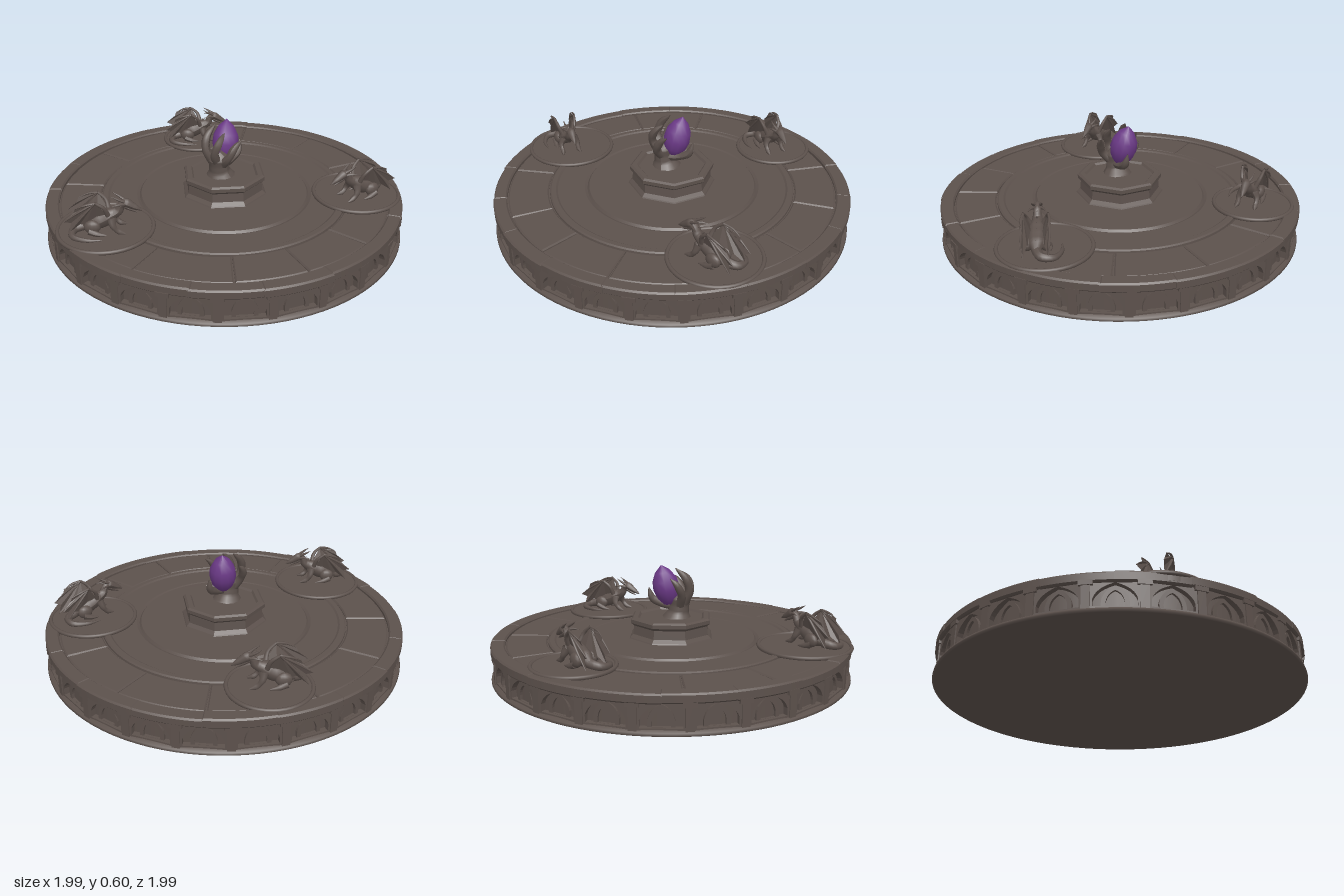
import * as THREE from 'three';
import { toCreasedNormals } from 'three/addons/utils/BufferGeometryUtils.js';

const stone = new THREE.MeshStandardMaterial({ color: 0x5c514c, side: THREE.DoubleSide });
stone.name = 'stone';
const crystalPurple = new THREE.MeshStandardMaterial({ color: 0x6c3a88 });
crystalPurple.name = 'crystal purple';

let seed = 7;
const rand = () => (seed = (seed * 16807) % 2147483647) / 2147483647;
const V = (p) => new THREE.Vector3(...p);

function add(parent, name, geometry, pos = [0, 0, 0], material = stone) {
  const mesh = new THREE.Mesh(geometry, material);
  mesh.name = name;
  mesh.position.set(...pos);
  parent.add(mesh);
  return mesh;
}

// Tube through points whose radius follows a list
function taper(points, radii, n = 14, sides = 8) {
  const curve = new THREE.CatmullRomCurve3(points.map(V));
  const geo = new THREE.TubeGeometry(curve, n, 1, sides);
  const pos = geo.attributes.position, v = new THREE.Vector3();
  for (let i = 0; i <= n; i++) {
    const c = curve.getPointAt(i / n);
    const t = (i / n) * (radii.length - 1), k = Math.min(Math.floor(t), radii.length - 2);
    const r = THREE.MathUtils.lerp(radii[k], radii[k + 1], t - k);
    for (let j = 0; j <= sides; j++) {
      const id = i * (sides + 1) + j;
      v.fromBufferAttribute(pos, id).sub(c).multiplyScalar(r).add(c);
      pos.setXYZ(id, v.x, v.y, v.z);
    }
  }
  geo.computeVertexNormals();
  return geo;
}

function lathe(points, segments, phi = 0) {
  return new THREE.LatheGeometry(points.map((p) => new THREE.Vector2(...p)), segments, phi);
}

// Curved stone block between two radii and two angles
function arcBlock(r0, r1, a0, a1, y0, y1, bevel) {
  const s = new THREE.Shape();
  s.absarc(0, 0, r1 - bevel, a0, a1, false);
  s.absarc(0, 0, r0 + bevel, a1, a0, true);
  const geo = new THREE.ExtrudeGeometry(s, {
    depth: y1 - y0 - bevel, curveSegments: 8, bevelEnabled: true,
    bevelSize: bevel, bevelThickness: bevel, bevelSegments: 1,
  });
  return toCreasedNormals(geo.rotateX(-Math.PI / 2).translate(0, y0, 0), 0.5);
}

function pointedArch(path, w, y0, spring, top) {
  path.moveTo(-w, y0);
  path.lineTo(w, y0);
  path.lineTo(w, spring);
  path.quadraticCurveTo(w * 0.85, (spring + top) / 2 + 0.015, 0, top);
  path.quadraticCurveTo(-w * 0.85, (spring + top) / 2 + 0.015, -w, spring);
  path.closePath();
  return path;
}

function makePlatform() {
  const g = new THREE.Group();
  g.name = 'platform';
  add(g, 'core', new THREE.CylinderGeometry(0.945, 0.945, 0.175, 96), [0, 0.0925, 0]);
  add(g, 'plinth', lathe([[0, 0], [0.985, 0], [0.995, 0.006], [0.992, 0.018], [0.965, 0.03], [0.94, 0.03]], 96));

  // Arcade around the wall
  const frame = new THREE.Shape();
  frame.moveTo(-0.126, 0); frame.lineTo(0.126, 0); frame.lineTo(0.126, 0.145); frame.lineTo(-0.126, 0.145);
  frame.holes.push(pointedArch(new THREE.Path(), 0.098, 0.014, 0.05, 0.13));
  const inner = pointedArch(new THREE.Shape(), 0.062, 0, 0.04, 0.118);
  inner.holes.push(pointedArch(new THREE.Path(), 0.042, 0.01, 0.035, 0.095));
  const frameGeo = new THREE.ExtrudeGeometry(frame, { depth: 0.03, bevelEnabled: false, curveSegments: 6 });
  const innerGeo = new THREE.ExtrudeGeometry(inner, { depth: 0.018, bevelEnabled: false, curveSegments: 6 });
  for (let i = 0; i < 24; i++) {
    const bay = new THREE.Group();
    bay.name = 'arcadeBay';
    bay.rotation.y = (i / 24) * Math.PI * 2;
    add(bay, 'archFrame', frameGeo, [0, 0.02, 0.942]);
    add(bay, 'innerArch', innerGeo, [0, 0.025, 0.94]);
    const pier = new THREE.Group();
    pier.name = 'pier';
    pier.rotation.y = Math.PI / 24;
    add(pier, 'pierShaft', new THREE.BoxGeometry(0.04, 0.14, 0.03), [0, 0.09, 0.969]);
    add(pier, 'pierCapital', new THREE.BoxGeometry(0.065, 0.025, 0.035), [0, 0.148, 0.972]);
    bay.add(pier);
    g.add(bay);
  }

  // Worn rim stones
  const rims = 18;
  for (let i = 0; i < rims; i++) {
    const a = (i / rims) * Math.PI * 2, r = 0.985 + rand() * 0.01;
    add(g, 'rimStone', arcBlock(0.915, r, a + 0.003, a + (Math.PI * 2) / rims - 0.003,
      0.155 + rand() * 0.006, 0.197 + rand() * 0.006, 0.008));
  }
  // Paving slabs of the outer walk
  const joints = [0, 0.45, 1.1, 1.6, 2.1, 2.7, 3.25, 3.75, 4.35, 4.9, 5.45, 5.85, Math.PI * 2];
  for (let i = 0; i + 1 < joints.length; i++) {
    add(g, 'pavingSlab', arcBlock(0.69, 0.91, joints[i] + 0.012, joints[i + 1] - 0.012,
      0.165, 0.188 + rand() * 0.006, 0.007));
  }
  // Inner floor with shallow ring steps
  add(g, 'innerFloor', toCreasedNormals(lathe([[0.685, 0.17], [0.683, 0.192], [0.675, 0.198], [0.65, 0.198],
    [0.64, 0.191], [0.49, 0.191], [0.475, 0.184], [0.465, 0.196], [0.3, 0.199], [0, 0.199]], 80), 0.3));
  return g;
}

function makePedestal() {
  const g = new THREE.Group();
  g.name = 'pedestal';
  const profile = [[0.25, 0.19], [0.24, 0.205], [0.222, 0.222], [0.217, 0.27], [0.234, 0.285],
    [0.234, 0.305], [0.222, 0.314], [0.195, 0.314], [0.185, 0.303], [0, 0.305]];
  add(g, 'octagonBlock', toCreasedNormals(lathe(profile, 8, Math.PI / 8), 0.2));
  return g;
}

function makeHand() {
  const g = new THREE.Group();
  g.name = 'hand';
  add(g, 'wrist', taper([[0, 0.295, 0.035], [0, 0.33, 0.04], [0, 0.37, 0.045], [0, 0.42, 0.05], [0, 0.45, 0.06]],
    [0.085, 0.058, 0.055, 0.062, 0.02], 16, 12));
  const fingers = [
    [[-0.03, 0.38, 0.05], [-0.075, 0.44, 0.06], [-0.1, 0.5, 0.035], [-0.1, 0.535, 0.0]],
    [[-0.02, 0.39, 0.07], [-0.045, 0.46, 0.1], [-0.055, 0.53, 0.08], [-0.045, 0.585, 0.025]],
    [[0.01, 0.39, 0.07], [0.02, 0.45, 0.105], [0.035, 0.51, 0.09], [0.035, 0.56, 0.04]],
    [[0.03, 0.38, 0.05], [0.08, 0.43, 0.06], [0.1, 0.49, 0.03], [0.115, 0.525, -0.01]],
    [[0.01, 0.365, 0.02], [0.015, 0.375, -0.05], [0.015, 0.405, -0.105], [0.01, 0.465, -0.125]],
  ];
  for (const f of fingers) add(g, 'finger', taper(f, [0.03, 0.025, 0.021, 0.023, 0.017, 0.003]));
  const crystal = add(g, 'crystal', lathe([[0, -0.11], [0.035, -0.098], [0.062, -0.06], [0.074, -0.01],
    [0.068, 0.04], [0.042, 0.088], [0, 0.125]], 12), [-0.012, 0.478, -0.028], crystalPurple);
  crystal.rotation.set(-0.22, 0, 0.12);
  return g;
}

// Fan membrane with scalloped trailing edge
function wingMembrane(wrist, edge, s) {
  const out = [];
  for (let i = 0; i + 1 < edge.length; i++) {
    const a = V(edge[i]), b = V(edge[i + 1]), w = V(wrist);
    const mid = a.clone().add(b).multiplyScalar(0.5).lerp(w, 0.16);
    mid.z -= 0.008;
    for (const p of [w, a, mid, w, mid, b]) out.push(p.x, p.y, p.z * s);
  }
  const geo = new THREE.BufferGeometry();
  geo.setAttribute('position', new THREE.Float32BufferAttribute(out, 3));
  geo.computeVertexNormals();
  return geo;
}

// Seated dragon facing +x
function makeDragon() {
  const g = new THREE.Group();
  g.name = 'dragon';
  add(g, 'body', taper([[-0.125, 0.03, 0], [-0.07, 0.045, 0], [0, 0.07, 0], [0.045, 0.095, 0], [0.075, 0.11, 0]],
    [0.012, 0.042, 0.047, 0.042, 0.018], 16, 10));
  add(g, 'neck', taper([[0.03, 0.085, 0], [0.075, 0.11, 0], [0.09, 0.14, 0], [0.11, 0.155, 0]], [0.036, 0.028, 0.021, 0.019]));
  add(g, 'head', taper([[0.085, 0.16, 0], [0.115, 0.155, 0], [0.15, 0.135, 0], [0.195, 0.11, 0]], [0.008, 0.025, 0.02, 0.014, 0.003]));
  add(g, 'jaw', taper([[0.1, 0.14, 0], [0.135, 0.12, 0], [0.17, 0.1, 0]], [0.014, 0.011, 0.003]));
  add(g, 'tail', taper([[-0.1, 0.03, 0], [-0.15, 0.02, 0.025], [-0.15, 0.014, 0.085], [-0.08, 0.01, 0.12], [0, 0.008, 0.12]],
    [0.026, 0.021, 0.015, 0.01, 0.002], 20));
  for (let i = 0; i < 6; i++) {
    const spine = add(g, 'backSpine', new THREE.ConeGeometry(0.008, 0.025, 4), [0.075 - i * 0.032, 0.145 - i * 0.015, 0]);
    spine.rotation.z = 0.7;
  }
  const wrist = [-0.03, 0.185, 0.06];
  const edge = [[0.025, 0.1, 0.03], [-0.09, 0.05, 0.035], [-0.17, 0.02, 0.06], [-0.19, 0.085, 0.065], [-0.13, 0.155, 0.06]];
  for (const s of [1, -1]) {
    const m = (p) => [p[0], p[1], p[2] * s];
    add(g, 'wingMembrane', wingMembrane(wrist, edge, s));
    add(g, 'wingArm', taper([edge[0], [0.01, 0.15, 0.05], wrist].map(m), [0.014, 0.01, 0.007]));
    for (const tip of edge.slice(2)) {
      const mid = wrist.map((c, i) => (c + tip[i]) / 2 + (i ? 0.006 : 0));
      add(g, 'wingRib', taper([wrist, mid, tip].map(m), [0.007, 0.006, 0.002], 8, 6));
    }
    for (const h of [0, 1]) {
      add(g, 'horn', taper([[0.11, 0.165 - h * 0.015, 0.012], [0.08, 0.182 - h * 0.025, 0.022 + h * 0.01],
        [0.05, 0.2 - h * 0.045, 0.025 + h * 0.02]].map(m), [0.009, 0.006, 0.001], 8, 6));
    }
    add(g, 'frontLeg', taper([[0.04, 0.08, 0.03], [0.05, 0.045, 0.048], [0.075, 0.015, 0.048], [0.11, 0.004, 0.052]].map(m),
      [0.026, 0.018, 0.013, 0.014, 0.004]));
    add(g, 'thigh', new THREE.SphereGeometry(0.034, 12, 8), m([-0.055, 0.042, 0.043])).scale.set(1.25, 1.1, 0.7);
    add(g, 'hindFoot', taper([[-0.07, 0.025, 0.055], [-0.03, 0.01, 0.062], [0.015, 0.004, 0.065]].map(m), [0.02, 0.014, 0.003]));
  }
  return g;
}

// Round plaque with a raised ring, carrying one dragon
function makeMedallion(x, z, radius, dx, dz, fx, fz) {
  const g = new THREE.Group();
  g.name = 'medallion';
  g.position.set(x, 0, z);
  add(g, 'plaque', new THREE.CylinderGeometry(radius, radius, 0.04, 40), [0, 0.183, 0]);
  const ring = add(g, 'ring', new THREE.TorusGeometry(radius, 0.011, 8, 48), [0, 0.2, 0]);
  ring.rotation.x = Math.PI / 2;
  const dragon = makeDragon();
  dragon.position.set(dx - x, 0.202, dz - z);
  dragon.rotation.y = Math.atan2(-fz, fx);
  g.add(dragon);
  return g;
}

export function createModel() {
  const model = new THREE.Group();
  model.name = 'dragonPlatform';
  model.add(makePlatform(), makePedestal(), makeHand());
  model.add(makeMedallion(-0.59, -0.45, 0.21, -0.585, -0.43, 0.75, -0.66));
  model.add(makeMedallion(0.6, -0.43, 0.235, 0.63, -0.41, -0.38, 0.92));
  model.add(makeMedallion(-0.195, 0.72, 0.245, -0.18, 0.74, 0.75, -0.66));
  return model;
}
